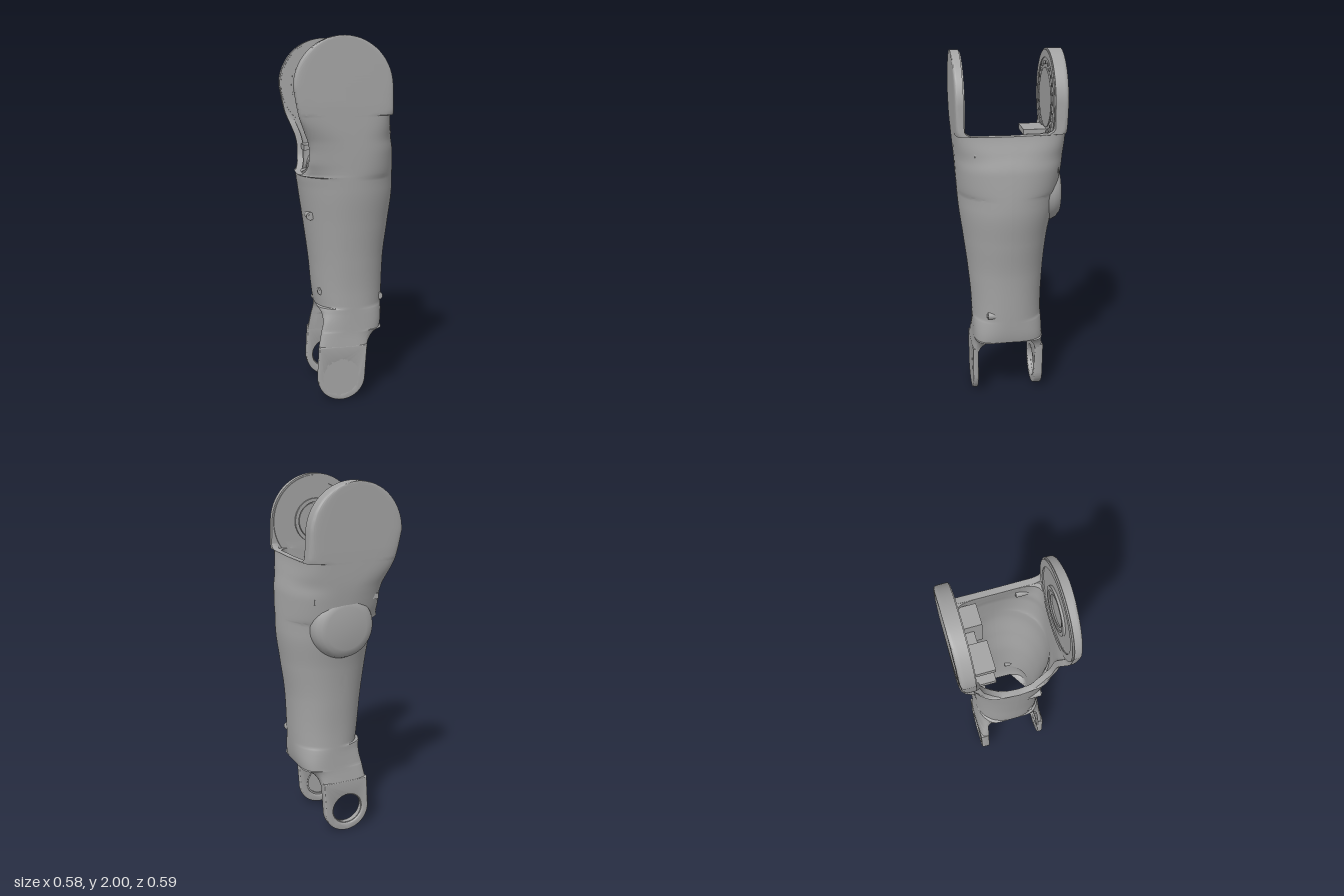
import * as THREE from 'three';
import { toCreasedNormals } from 'three/addons/utils/BufferGeometryUtils.js';

// smooth, overshoot-free reading of a profile given as [y, value] pairs
function profile(pts) {
  const n = pts.length;
  const d = pts.slice(1).map((p, i) => (p[1] - pts[i][1]) / (p[0] - pts[i][0]));
  const m = pts.map((_, i) => {
    if (i === 0) return d[0];
    if (i === n - 1) return d[n - 2];
    return d[i - 1] * d[i] <= 0 ? 0 : (2 * d[i - 1] * d[i]) / (d[i - 1] + d[i]);
  });
  return (y) => {
    if (y <= pts[0][0]) return pts[0][1];
    if (y >= pts[n - 1][0]) return pts[n - 1][1];
    let i = 0;
    while (y > pts[i + 1][0]) i++;
    const h = pts[i + 1][0] - pts[i][0], t = (y - pts[i][0]) / h, u = 1 - t;
    return pts[i][1] * u * u * (1 + 2 * t) + m[i] * h * t * u * u
      + pts[i + 1][1] * t * t * (3 - 2 * t) - m[i + 1] * h * t * t * u;
  };
}

const CX = -0.034, DISC_Y = 1.74, DISC_R = 0.26, TAB_Y = 0.135, TAB_TOP = 0.3;

// side outlines shared by both halves
const leftEdge = profile([[0.25, -0.165], [0.4, -0.138], [0.46, -0.126], [0.5, -0.13], [0.53, -0.149],
  [0.8, -0.18], [1, -0.207], [1.2, -0.235], [1.265, -0.242], [1.28, -0.222], [1.32, -0.208],
  [1.4, -0.204], [1.45, -0.212], [1.5, -0.23], [1.6, -0.268], [1.74, CX - DISC_R]]);
const rightEdge = profile([[0.25, 0.108], [0.32, 0.122], [0.36, 0.145], [0.39, 0.185], [0.4, 0.215],
  [0.5, 0.23], [0.8, 0.243], [1, 0.268], [1.2, 0.29], [1.4, 0.278], [1.5, 0.255], [1.6, 0.234],
  [1.74, CX + DISC_R]]);
// squareness of the cross-section: round body, flat ends
const power = profile([[0.3, 5], [0.4, 3.5], [0.55, 2.3], [1.2, 2.1], [1.45, 2.8], [1.6, 6], [1.75, 11]]);

// where the wall of a half stops: the seam, or the edge of an opening
const cutRight = (low, top, seam) => profile([[0.3, low], [0.33, low * 0.93], [0.37, low * 0.75],
  [0.399, low * 0.5], [0.401, seam], [1.594, seam], [1.597, top * 0.85], [1.625, top], [2, top]]);
const cutLeft = (low, top, seam) => profile([[0.3, low], [0.44, low * 0.95], [0.5, low * 0.75],
  [0.528, low * 0.45], [0.532, seam], [1.265, seam], [1.27, top * 0.36], [1.3, top * 0.62],
  [1.35, top * 0.78], [1.5, top * 0.9], [1.6, top], [2, top]]);

function rowHeights() {
  const ys = [0.399, 0.401, 0.528, 0.532, 1.265, 1.27, 1.594, 1.597];
  for (let i = 0; i < 112; i++) ys.push(TAB_TOP + (DISC_Y - TAB_TOP) * i / 112);
  for (let i = 0; i <= 24; i++) ys.push(DISC_Y + DISC_R * Math.sin(i / 24 * Math.PI / 2));
  return ys.sort((a, b) => a - b);
}

// one half of the hollow shell, lofted from closed outer-and-inner sections
function halfShell(sign, depth, wall, cutL, cutR) {
  const N = 40, ys = rowHeights(), pos = [], idx = [];
  const loop = 2 * (N + 1);
  for (const y of ys) {
    const round = Math.sqrt(Math.max(0, DISC_R ** 2 - (y - DISC_Y) ** 2));
    const L = y > DISC_Y ? CX - round : leftEdge(y);
    const R = y > DISC_Y ? CX + round : rightEdge(y);
    const mid = (L + R) / 2, half = (R - L) / 2, e = 2 / power(y);
    for (let k = 0; k < loop; k++) {
      const inner = k > N;
      const a = Math.PI * (inner ? loop - 1 - k : k) / N;
      const c = Math.cos(a), s = Math.max(0, Math.sin(a));
      const f = Math.sign(c) * Math.abs(c) ** e;
      const w = inner ? half - Math.min(0.035, half * 0.5) : half;
      const base = THREE.MathUtils.lerp(cutL(y), cutR(y), (f + 1) / 2);
      const crest = Math.max(base, depth(y) - (inner ? wall(y) : 0));
      pos.push(mid + w * f, y, sign * (base + (crest - base) * s ** e));
    }
  }
  for (let i = 0; i < ys.length - 1; i++) {
    for (let k = 0; k < loop; k++) {
      const a = i * loop + k, b = i * loop + (k + 1) % loop, c = a + loop, d = b + loop;
      if (sign > 0) idx.push(a, c, b, b, c, d);
      else idx.push(a, b, c, b, d, c);
    }
  }
  const g = new THREE.BufferGeometry();
  g.setAttribute('position', new THREE.Float32BufferAttribute(pos, 3));
  g.setIndex(idx);
  return toCreasedNormals(g, 0.6);
}

export function createModel() {
  const group = new THREE.Group();
  const grey = new THREE.MeshStandardMaterial({ color: 0xa3a3a3, side: THREE.DoubleSide });
  grey.name = 'grey';
  const add = (name, geometry, x = 0, y = 0, z = 0) => {
    const mesh = new THREE.Mesh(geometry, grey);
    mesh.name = name;
    mesh.position.set(x, y, z);
    group.add(mesh);
    return mesh;
  };
  const box = (name, x0, x1, y0, y1, z0, z1) => add(name, new THREE.BoxGeometry(x1 - x0, y1 - y0, z1 - z0),
    (x0 + x1) / 2, (y0 + y1) / 2, (z0 + z1) / 2);
  // cylinder lying along z
  const pin = (name, r, x, y, z0, z1, sides = 40) =>
    add(name, new THREE.CylinderGeometry(r, r, z1 - z0, sides).rotateX(Math.PI / 2), x, y, (z0 + z1) / 2);
  // flat ring lying across z
  const ring = (name, outer, inner, y, z0, z1) => {
    const s = new THREE.Shape().absarc(0, 0, outer, 0, Math.PI * 2);
    s.holes.push(new THREE.Path().absarc(0, 0, inner, 0, Math.PI * 2, true));
    const g = new THREE.ExtrudeGeometry(s, { depth: z1 - z0, bevelEnabled: false, curveSegments: 32 });
    add(name, toCreasedNormals(g, 0.6), CX, y, z0);
  };

  // two hollow halves, each ending in a large disc
  add('frontShell', halfShell(1,
    profile([[0.3, 0.212], [0.4, 0.206], [0.6, 0.21], [0.8, 0.226], [1, 0.25], [1.2, 0.275], [1.5, 0.292], [1.65, 0.295]]),
    profile([[0.3, 0.032], [0.6, 0.035], [1.4, 0.04], [1.6, 0.045]]),
    cutLeft(0.18, 0.25, 0.015), cutRight(0.18, 0.25, 0.015)));
  add('backShell', halfShell(-1,
    profile([[0.3, 0.2], [0.4, 0.19], [0.6, 0.185], [0.8, 0.195], [1, 0.215], [1.2, 0.255], [1.3, 0.27], [1.5, 0.291], [1.65, 0.295]]),
    profile([[0.3, 0.05], [0.5, 0.04], [1.3, 0.04], [1.6, 0.075]]),
    cutLeft(0.15, 0.22, -0.015), cutRight(0.15, 0.22, -0.015)));

  // lower tabs with round bearing openings
  const tab = (name, z0, z1) => {
    const b = 0.008, r = 0.135 - b;
    const s = new THREE.Shape();
    s.moveTo(rightEdge(TAB_TOP) - b, TAB_TOP + 0.01);
    s.lineTo(leftEdge(TAB_TOP) + b, TAB_TOP + 0.01);
    s.absarc(CX + 0.004, TAB_Y, r, Math.PI, Math.PI * 2);
    s.holes.push(new THREE.Path().absarc(CX, TAB_Y, 0.1, 0, Math.PI * 2, true));
    const g = new THREE.ExtrudeGeometry(s, { depth: z1 - z0 - 2 * b, bevelThickness: b, bevelSize: b, bevelSegments: 3, curveSegments: 32 });
    add(name, toCreasedNormals(g, 0.6), 0, 0, z0 + b);
  };
  tab('frontTab', 0.18, 0.212);
  tab('backTab', -0.2, -0.15);
  pin('frontTabCap', 0.108, CX, TAB_Y, 0.2, 0.212);
  ring('frontTabLip', 0.1, 0.082, TAB_Y, 0.19, 0.2);
  ring('backTabLip', 0.1, 0.088, TAB_Y, -0.19, -0.17);

  // rounded boss on the back
  const boss = [[0.178, 0.15], [0.178, 0.2], [0.174, 0.23], [0.162, 0.257], [0.142, 0.275], [0.115, 0.282], [0, 0.283]];
  add('backBoss', toCreasedNormals(new THREE.LatheGeometry(boss.map((p) => new THREE.Vector2(...p)), 48)
    .rotateX(-Math.PI / 2), 0.6), 0.02, 1.245, 0);

  // inner face of the front disc: rim and bearing rings
  ring('frontDiscRim', 0.252, 0.215, DISC_Y, 0.243, 0.251);
  ring('frontBearingOuter', 0.125, 0.105, DISC_Y, 0.238, 0.251);
  ring('frontBearingInner', 0.1, 0.082, DISC_Y, 0.243, 0.251);

  // inner face of the back disc: mounting plate and bolt circle
  ring('backDiscRim', 0.252, 0.212, DISC_Y, -0.221, -0.215);
  pin('backDiscPlate', 0.158, CX, DISC_Y, -0.221, -0.214, 48);
  for (let i = 0; i < 24; i++) {
    const a = i / 24 * Math.PI * 2;
    pin('bolt', 0.009, CX + 0.185 * Math.cos(a), DISC_Y + 0.185 * Math.sin(a), -0.221, -0.214, 10);
  }

  // shelves and post inside the shell
  for (const [x0, x1] of [[-0.18, -0.018], [0.07, 0.19]]) {
    for (const y of [1.38, 1.54]) box('innerShelf', x0, x1, y, y + 0.03, -0.25, -0.096);
  }
  box('innerPost', 0.07, 0.1, 1.38, 1.57, -0.25, -0.096);
  box('innerPost', -0.048, -0.018, 1.38, 1.57, -0.25, -0.096);
  box('innerBridge', -0.018, 0.07, 1.48, 1.51, -0.26, -0.14);

  // screws along the seam
  for (const [x, y, z] of [[0.218, 1.5, 0.2], [0.202, 0.572, 0.135], [-0.19, 1.05, 0.15], [-0.128, 0.62, 0.13]]) {
    pin('screwSeat', 0.022, x, y, z - 0.08, z, 20);
    pin('screwHead', 0.012, x, y, z - 0.02, z + 0.006, 12);
  }
  return group;
}
